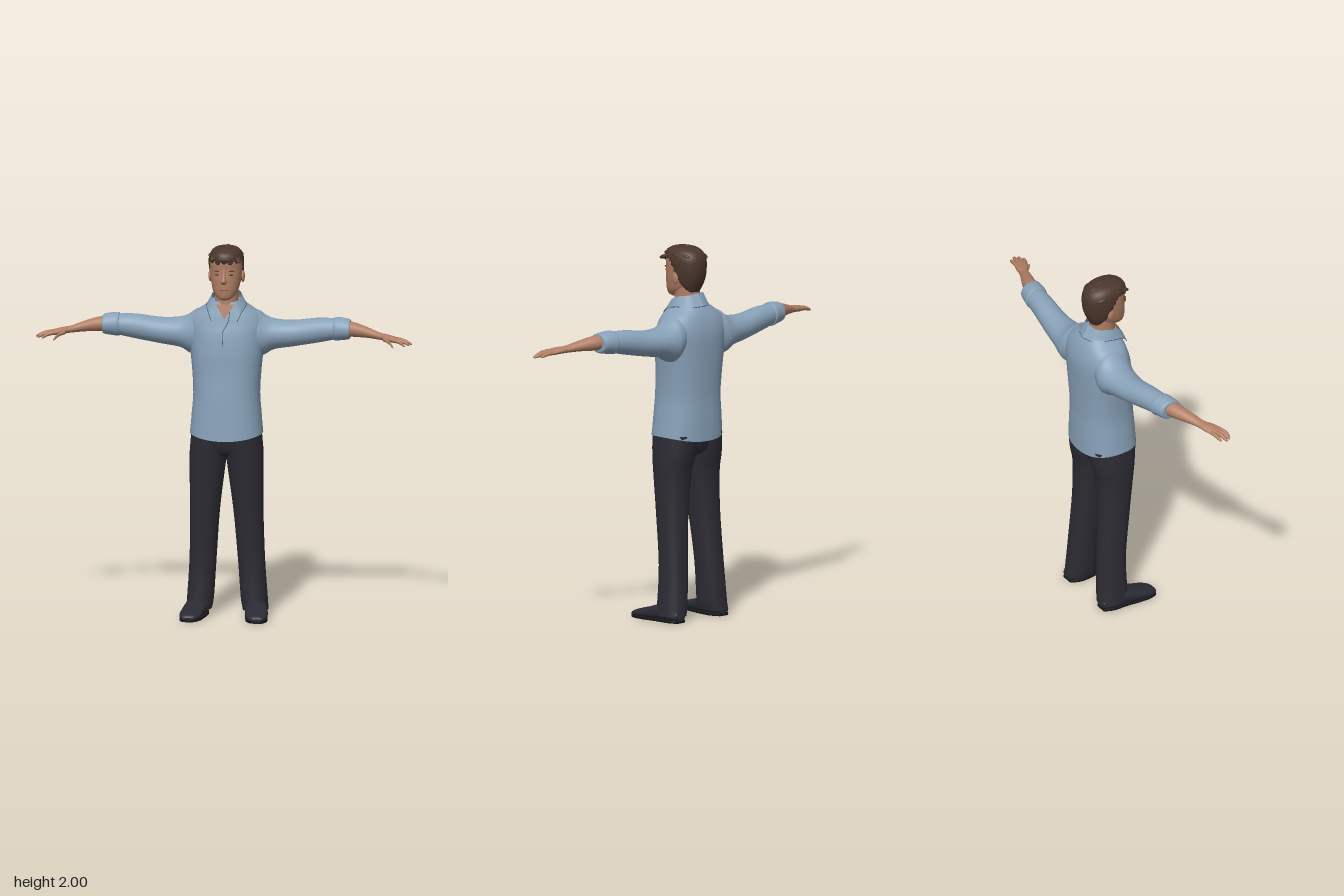
import * as THREE from 'three';

const mat = (name, color, side = THREE.FrontSide) => {
  const m = new THREE.MeshStandardMaterial({ color, side });
  m.name = name;
  return m;
};

// Catmull-Rom interpolation of section rows
function smoothRows(rows, sub) {
  const out = [], at = i => rows[Math.max(0, Math.min(rows.length - 1, i))];
  for (let i = 0; i < rows.length - 1; i++) {
    for (let k = 0; k < sub; k++) {
      const t = k / sub;
      out.push(rows[i].map((_, c) => {
        const [a, b, d, e] = [at(i - 1)[c], at(i)[c], at(i + 1)[c], at(i + 2)[c]];
        return 0.5 * (2 * b + (d - a) * t + (2 * a - 5 * b + 4 * d - e) * t * t + (3 * b - a - 3 * d + e) * t ** 3);
      }));
    }
  }
  out.push(rows[rows.length - 1]);
  return out;
}

// Loft superellipse sections along an axis; row = [position, u0, u1, v0, v1]
// axis y: u = z, v = x; axis x: u = y, v = z; axis z: u = x, v = y
function loft(axis, rows, { seg = 32, n = 2, sub = 4, rule } = {}) {
  const pos = [], idx = [], secs = smoothRows(rows, sub);
  const put = (s, u, v) => {
    const p = axis === 'y' ? [v, s, u] : axis === 'x' ? [s, u, v] : [u, v, s];
    const q = new THREE.Vector3(...p);
    if (rule) rule(q);
    pos.push(q.x, q.y, q.z);
  };
  const ring = ([s, u0, u1, v0, v1]) => {
    for (let j = 0; j < seg; j++) {
      const a = j / seg * Math.PI * 2, c = Math.cos(a), d = Math.sin(a);
      put(s, (u0 + u1) / 2 + (u1 - u0) / 2 * Math.sign(c) * Math.abs(c) ** (2 / n),
        (v0 + v1) / 2 + (v1 - v0) / 2 * Math.sign(d) * Math.abs(d) ** (2 / n));
    }
  };
  secs.forEach(ring);
  for (let i = 0; i < secs.length - 1; i++) {
    for (let j = 0; j < seg; j++) {
      const k = (j + 1) % seg, a = i * seg + j, b = i * seg + k;
      idx.push(a, b, b + seg, a, b + seg, a + seg);
    }
  }
  // end caps
  [[secs[0], true], [secs[secs.length - 1], false]].forEach(([r, low]) => {
    const base = pos.length / 3;
    ring(r);
    put(r[0], (r[1] + r[2]) / 2, (r[3] + r[4]) / 2);
    for (let j = 0; j < seg; j++) {
      const a = base + j, b = base + (j + 1) % seg;
      idx.push(base + seg, low ? b : a, low ? a : b);
    }
  });
  return build(pos, idx);
}

function build(pos, idx) {
  const g = new THREE.BufferGeometry();
  g.setAttribute('position', new THREE.Float32BufferAttribute(pos, 3));
  g.setIndex(idx);
  g.computeVertexNormals();
  return g;
}

function mirrored(geo) {
  const g = geo.clone(), p = g.attributes.position, ix = Array.from(g.index.array);
  for (let i = 0; i < p.count; i++) p.setX(i, -p.getX(i));
  for (let i = 0; i < ix.length; i += 3) [ix[i + 1], ix[i + 2]] = [ix[i + 2], ix[i + 1]];
  g.setIndex(ix);
  g.computeVertexNormals();
  return g;
}

const blob = (x, y, z, sx, sy, sz) => new THREE.SphereGeometry(1, 16, 12).scale(sx, sy, sz).translate(x, y, z);

export function createModel() {
  const root = new THREE.Group();
  root.name = 'standingMan';
  const shirt = mat('shirtBlue', 0x88a1b8, THREE.DoubleSide);
  const seam = mat('seamBlue', 0x4c5d6e);
  const trousers = mat('trouserCharcoal', 0x2d2c35);
  const leather = mat('shoeLeather', 0x2a2a34);
  const soleMat = mat('soleBlack', 0x17171b);
  const skin = mat('skin', 0xb07e64, THREE.DoubleSide);
  const hair = mat('hairBrown', 0x4b362c);
  const lip = mat('lip', 0x96604f);
  const eyeMat = mat('eyeDark', 0x3c2c27);

  const add = (name, geo, m) => {
    const mesh = new THREE.Mesh(geo, m);
    mesh.name = name;
    root.add(mesh);
  };
  const pair = (name, geo, m) => {
    add('left' + name, geo, m);
    add('right' + name, mirrored(geo), m);
  };
  const sym = rows => rows.map(([y, zb, zf, x]) => [y, zb, zf, -x, x]);

  // Shirt body, with the hem rising at the sides
  add('shirtBody', loft('y', sym([
    [0.965, -0.172, 0.142, 0.193], [1.08, -0.172, 0.135, 0.185], [1.2, -0.17, 0.127, 0.176],
    [1.32, -0.175, 0.117, 0.182], [1.42, -0.18, 0.112, 0.192], [1.52, -0.183, 0.1, 0.2],
    [1.58, -0.175, 0.085, 0.2], [1.63, -0.16, 0.073, 0.17], [1.67, -0.14, 0.06, 0.115], [1.7, -0.12, 0.05, 0.08],
  ]), {
    seg: 48, n: 2.4, rule: p => {
      if (p.y < 1.05) p.y += 0.025 * (p.x / 0.19) ** 2 * (1.05 - p.y) / 0.085;
    },
  }), shirt);

  // Sleeves and rolled cuffs
  pair('Sleeve', loft('x', [
    [0.08, 1.46, 1.66, -0.14, 0.04], [0.16, 1.4, 1.643, -0.165, 0.05], [0.2, 1.405, 1.615, -0.165, 0.04],
    [0.25, 1.433, 1.595, -0.155, 0.025], [0.35, 1.45, 1.59, -0.137, 0.012], [0.48, 1.475, 1.607, -0.115, 0.014],
    [0.57, 1.495, 1.608, -0.1, 0.02], [0.63, 1.508, 1.602, -0.085, 0.026],
  ]), shirt);
  pair('Cuff', loft('x', [
    [0.57, 1.5, 1.6, -0.09, 0.015], [0.575, 1.49, 1.615, -0.105, 0.026], [0.61, 1.495, 1.615, -0.098, 0.032],
    [0.652, 1.503, 1.608, -0.087, 0.036], [0.658, 1.518, 1.598, -0.07, 0.024],
  ]), shirt);

  // Forearms and hands
  pair('Forearm', loft('x', [
    [0.62, 1.52, 1.6, -0.07, 0.022], [0.68, 1.518, 1.595, -0.052, 0.032], [0.75, 1.52, 1.577, -0.018, 0.052],
    [0.82, 1.517, 1.555, 0.02, 0.075], [0.86, 1.514, 1.55, 0.03, 0.102], [0.9, 1.51, 1.542, 0.043, 0.122],
    [0.93, 1.513, 1.532, 0.055, 0.122],
  ], { seg: 24 }), skin);
  [
    ['IndexFinger', 0.9, 1.527, 0.112, 0.965, 1.5, 0.137], ['MiddleFinger', 0.91, 1.527, 0.096, 0.988, 1.503, 0.123],
    ['RingFinger', 0.91, 1.527, 0.078, 1, 1.505, 0.101], ['LittleFinger', 0.89, 1.527, 0.056, 0.985, 1.508, 0.072],
    ['Thumb', 0.845, 1.527, 0.088, 0.905, 1.491, 0.139],
  ].forEach(([name, x0, y0, z0, x1, y1, z1]) => {
    const rows = [[0, 0.011], [0.5, 0.01], [0.85, 0.008], [1, 0.002]].map(([t, r]) => {
      const y = y0 + (y1 - y0) * t * t, z = z0 + (z1 - z0) * t;
      return [x0 + (x1 - x0) * t, y - r, y + r, z - r, z + r];
    });
    pair(name, loft('x', rows, { seg: 12, sub: 3 }), skin);
  });

  // Folded collar
  const curve = pts => new THREE.CatmullRomCurve3(pts.map(p => new THREE.Vector3(...p)));
  const top = curve([[0, 1.75, -0.1], [0.055, 1.742, -0.085], [0.078, 1.73, -0.02], [0.06, 1.7, 0.045], [0.026, 1.655, 0.088]]);
  const low = curve([[0, 1.685, -0.145], [0.07, 1.68, -0.11], [0.105, 1.68, -0.03], [0.09, 1.65, 0.06], [0.068, 1.605, 0.096]]);
  const cp = [], ci = [];
  for (let i = 0; i <= 24; i++) {
    cp.push(...low.getPoint(i / 24).toArray(), ...top.getPoint(i / 24).toArray());
    const a = i * 2;
    if (i < 24) ci.push(a, a + 1, a + 3, a, a + 3, a + 2);
  }
  pair('Collar', build(cp, ci), shirt);
  pair('CollarEdge', new THREE.TubeGeometry(low, 32, 0.002, 6), seam);

  // Open neck and front placket
  add('openNeck', build([-0.05, 1.69, 0.064, 0, 1.612, 0.086, 0.05, 1.69, 0.064, 0, 1.69, 0.068], [0, 1, 3, 3, 1, 2]), skin);
  add('placketEdge', new THREE.TubeGeometry(curve([[0.028, 1.652, 0.085], [0.02, 1.6, 0.084],
    [-0.008, 1.545, 0.097], [-0.006, 1.47, 0.107]]), 24, 0.002, 6), seam);

  // Neck and head
  add('neck', loft('y', sym([[1.6, -0.1, 0.055, 0.068], [1.66, -0.1, 0.058, 0.065], [1.72, -0.09, 0.055, 0.062],
    [1.8, -0.09, 0.05, 0.062]])), skin);
  add('head', loft('y', sym([
    [1.717, 0.05, 0.09, 0.02], [1.73, 0.005, 0.105, 0.044], [1.76, -0.05, 0.11, 0.065], [1.79, -0.08, 0.111, 0.074],
    [1.83, -0.095, 0.11, 0.081], [1.88, -0.11, 0.107, 0.085], [1.92, -0.11, 0.109, 0.085], [1.95, -0.1, 0.098, 0.076],
    [1.975, -0.06, 0.06, 0.045],
  ]), { n: 2.25 }), skin);
  add('nose', loft('y', sym([[1.803, 0.09, 0.108, 0.009], [1.813, 0.09, 0.128, 0.017], [1.827, 0.09, 0.135, 0.014],
    [1.855, 0.09, 0.118, 0.009], [1.885, 0.085, 0.108, 0.01]]), { seg: 16 }), skin);
  pair('Ear', blob(0.087, 1.83, -0.018, 0.01, 0.032, 0.02), skin);
  pair('Eye', blob(0.034, 1.856, 0.1, 0.014, 0.005, 0.004), eyeMat);
  pair('Eyebrow', blob(0.035, 1.876, 0.099, 0.02, 0.004, 0.005), hair);
  add('mouth', blob(0, 1.776, 0.108, 0.024, 0.006, 0.006), lip);

  // Short hair: a cap sunk into the head in front of the hairline
  add('hairCap', loft('y', sym([
    [1.755, -0.09, 0.09, 0.06], [1.79, -0.107, 0.1, 0.078], [1.83, -0.121, 0.105, 0.088], [1.88, -0.128, 0.112, 0.092],
    [1.93, -0.125, 0.118, 0.092], [1.965, -0.105, 0.107, 0.079], [1.985, -0.07, 0.075, 0.056], [1.994, -0.03, 0.03, 0.02],
  ]), {
    seg: 64, sub: 8, n: 2.2, rule: p => {
      if (p.y < 1.925 && p.z > -0.07 + (p.y - 1.76) * 0.6) { p.x *= 0.82; p.z *= 0.82; }
    },
  }), hair);
  for (let i = 0; i < 5; i++) {
    for (let j = 0; j < 4; j++) {
      const x = (i - 2) * 0.033 + (j % 2 - 0.5) * 0.014, z = -0.07 + j * 0.05;
      const y = 1.987 - 6.5 * x * x - 3.2 * z * z + (i * 7 + j * 5) % 3 * 0.002;
      add('hairTuft', blob(0, 0, 0, 0.015, 0.011, 0.03).rotateX(z * 4).rotateY((i - 2) * 0.15).translate(x, y, z), hair);
    }
    add('fringeTuft', blob((i - 2) * 0.03, 1.932 - (i % 2) * 0.006, 0.107 - 0.007 * (i - 2) ** 2, 0.018, 0.018, 0.01), hair);
  }

  // Trousers
  add('trouserSeat', loft('y', sym([[0.87, -0.06, 0.05, 0.05], [0.9, -0.12, 0.093, 0.15], [0.99, -0.15, 0.115, 0.183]]),
    { n: 2.4 }), trousers);
  pair('TrouserLeg', loft('y', [
    [0.035, -0.14, 0.035, 0.083, 0.218], [0.1, -0.136, 0.03, 0.072, 0.213], [0.3, -0.125, 0.03, 0.058, 0.2],
    [0.56, -0.109, 0.06, 0.038, 0.194], [0.77, -0.112, 0.087, 0.012, 0.195], [0.88, -0.135, 0.103, -0.003, 0.195],
    [1, -0.155, 0.12, -0.02, 0.184],
  ], { n: 2.3 }), trousers);

  // Shoes and soles
  const shoe = [
    [-0.132, 0.125, 0.19, 0.012, 0.06], [-0.08, 0.1, 0.212, 0.006, 0.085], [0, 0.1, 0.218, 0.006, 0.09],
    [0.08, 0.11, 0.23, 0.006, 0.066], [0.14, 0.12, 0.232, 0.006, 0.05], [0.178, 0.142, 0.22, 0.006, 0.036],
    [0.188, 0.165, 0.2, 0.01, 0.024],
  ];
  pair('Shoe', loft('z', shoe, { n: 2.5 }), leather);
  pair('Sole', loft('z', shoe.map(([z, a, b]) => [z, a, b, 0, 0.017]), { n: 7 }), soleMat);
  return root;
}
